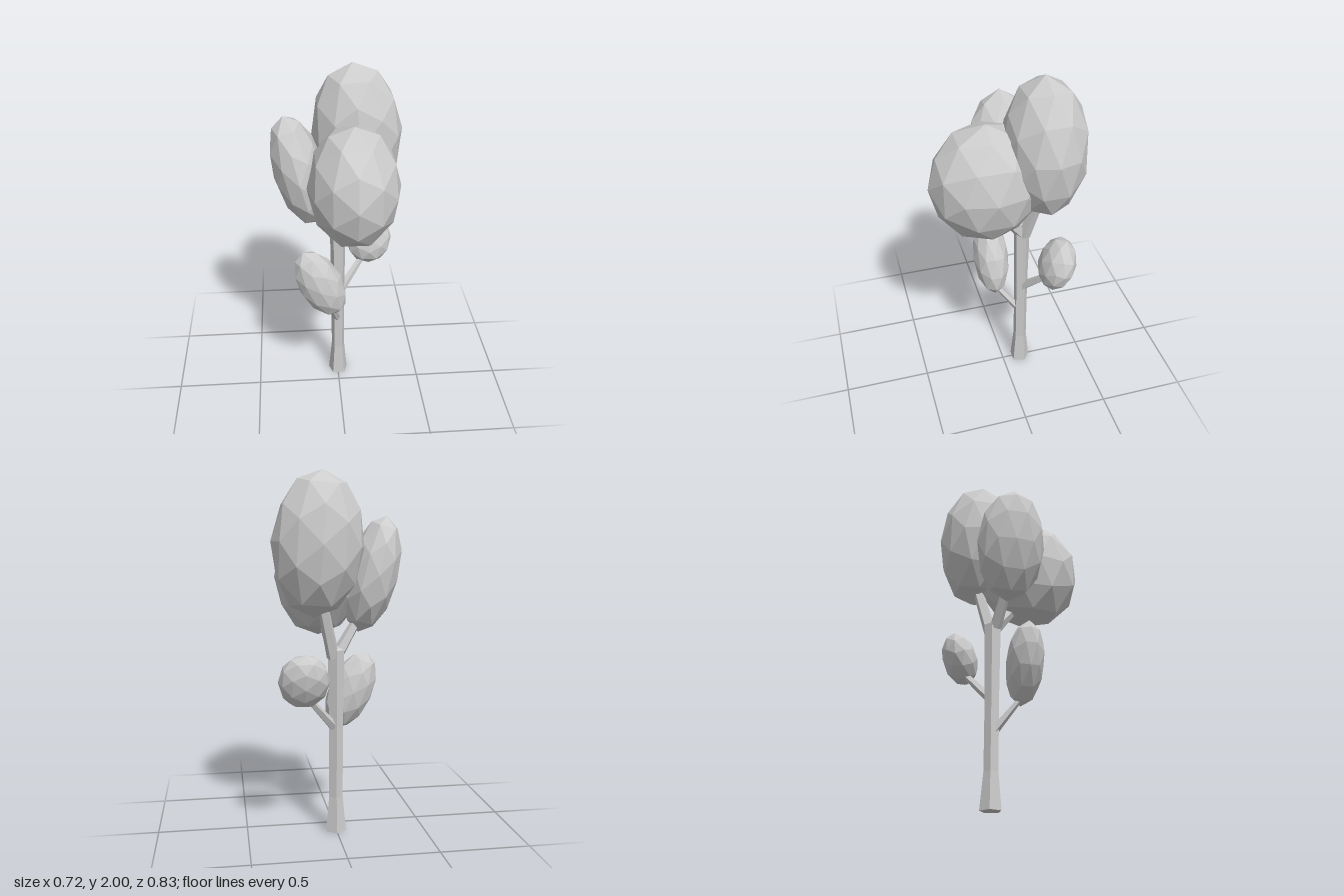
import * as THREE from 'three';

const material = new THREE.MeshStandardMaterial({ color: 0xcccccc, flatShading: true });

function addMesh(group, name, geometry) {
  const mesh = new THREE.Mesh(geometry, material);
  mesh.name = name;
  group.add(mesh);
  return mesh;
}

// Tapered five-sided limb between two points
function addBranch(group, name, from, to, r0, r1) {
  const a = new THREE.Vector3(...from);
  const b = new THREE.Vector3(...to);
  const dir = b.clone().sub(a);
  const mesh = addMesh(group, name, new THREE.CylinderGeometry(r1, r0, dir.length(), 5));
  mesh.position.copy(a).add(b).multiplyScalar(0.5);
  mesh.quaternion.setFromUnitVectors(new THREE.Vector3(0, 1, 0), dir.normalize());
}

// Faceted ellipsoid of leaves, tilted about x and z (degrees)
function addFoliage(group, name, center, radii, tiltX = 0, tiltZ = 0) {
  const mesh = addMesh(group, name, new THREE.IcosahedronGeometry(1, 1));
  mesh.position.set(...center);
  mesh.scale.set(...radii);
  mesh.rotation.set(THREE.MathUtils.degToRad(tiltX), 0, THREE.MathUtils.degToRad(tiltZ));
}

export function createModel() {
  const tree = new THREE.Group();
  tree.name = 'tree';

  // Five-sided trunk with a flared foot
  const profile = [[0, 0], [0.06, 0], [0.041, 0.2], [0.041, 0.6], [0.048, 1.04], [0, 1.07]]
    .map(([r, y]) => new THREE.Vector2(r, y));
  addMesh(tree, 'trunk', new THREE.LatheGeometry(profile, 5, Math.PI / 5)).position.set(0.002, 0, -0.11);

  // Limbs that fork from the top of the trunk
  addBranch(tree, 'upperBranchRight', [-0.015, 1.02, -0.1], [-0.15, 1.24, -0.06], 0.036, 0.026);
  addBranch(tree, 'upperBranchFront', [0.01, 1.02, -0.1], [0.06, 1.22, 0.05], 0.036, 0.026);
  addBranch(tree, 'upperBranchBack', [0.015, 1.0, -0.12], [0.09, 1.32, -0.19], 0.038, 0.03);

  // Thin side branches lower down
  addBranch(tree, 'lowerBranchRight', [-0.005, 0.42, -0.1], [-0.05, 0.61, 0.045], 0.026, 0.014);
  addBranch(tree, 'lowerBranchLeft', [0.015, 0.61, -0.12], [0.18, 0.81, -0.245], 0.028, 0.018);

  // Crown
  addFoliage(tree, 'crownBack', [0.11, 1.615, -0.19], [0.25, 0.388, 0.225], 0, 4);
  addFoliage(tree, 'crownFront', [0.07, 1.435, 0.11], [0.25, 0.335, 0.31]);
  addFoliage(tree, 'crownRight', [-0.21, 1.45, -0.06], [0.142, 0.328, 0.195], 0, 14);

  // Small leaf clusters on the side branches
  addFoliage(tree, 'lowerLeavesRight', [-0.11, 0.78, 0.045], [0.128, 0.235, 0.105], 0, 24.5);
  addFoliage(tree, 'lowerLeavesLeft', [0.195, 0.897, -0.26], [0.14, 0.158, 0.096], -20);

  return tree;
}
